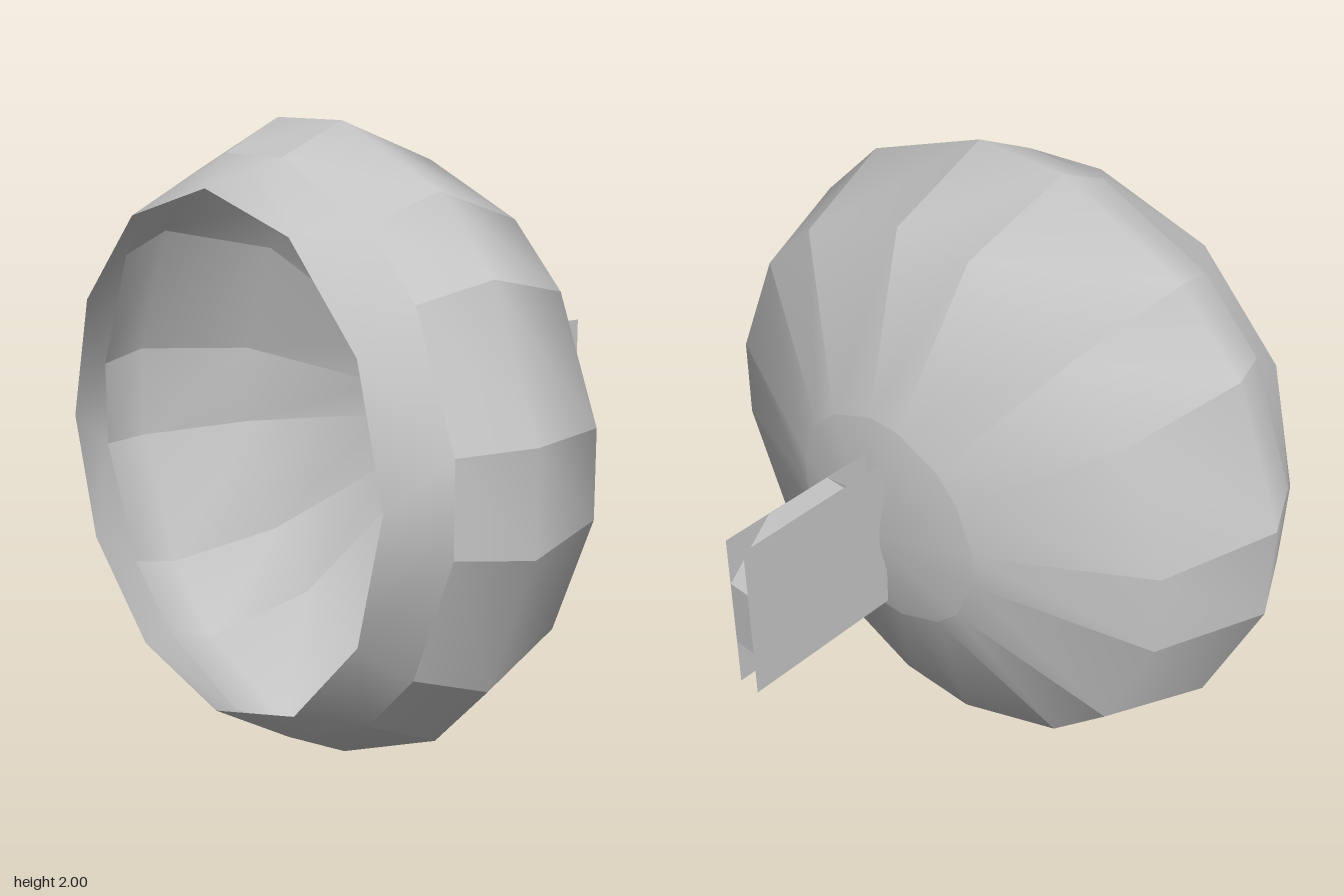
import * as THREE from 'three';

const gray = new THREE.MeshStandardMaterial({ color: 0xc4c4c4, side: THREE.DoubleSide });
gray.name = 'gray';

// alternating narrow (18 degree) and wide (27 degree) panels
const panelAngles = [];
for (let k = 0; k < 8; k++) panelAngles.push(45 * k - 9, 45 * k + 9);

// point on a circle of radius r around the z axis
const polar = (deg, r, z) => {
  const a = THREE.MathUtils.degToRad(deg);
  return [r * Math.cos(a), r * Math.sin(a), z];
};

function makeMesh(name, points, index) {
  const geo = new THREE.BufferGeometry();
  geo.setAttribute('position', new THREE.Float32BufferAttribute(points.flat(), 3));
  geo.setIndex(index);
  geo.computeVertexNormals();
  const mesh = new THREE.Mesh(geo, gray);
  mesh.name = name;
  return mesh;
}

// panelled bowl: creased between panels, blending together at the back ring
function makeBowl() {
  const profile = [[0.91, 0.175], [1.0125, 0.385], [0.88, 0.755]];
  const points = panelAngles.map((a) => polar(a, 0.36, 0.97));
  const index = [];
  panelAngles.forEach((a, i) => {
    const n = (i + 1) % 16;
    const base = points.length;
    for (const [r, z] of profile) points.push(polar(a, r, z), polar(panelAngles[n], r, z));
    for (let j = 0; j < 3; j++) {
      const p = base + 2 * j, q = p + 1;
      const s = j < 2 ? p + 2 : i, t = j < 2 ? p + 3 : n;
      index.push(p, q, t, p, t, s);
    }
  });
  return makeMesh('panelledBowl', points, index);
}

// shallow cone closing the back
function makeCap() {
  const points = panelAngles.map((a) => polar(a, 0.36, 0.97));
  points.push([0, 0, 1.06]);
  const index = [];
  for (let i = 0; i < 16; i++) index.push(i, (i + 1) % 16, 16);
  return makeMesh('backCap', points, index);
}

// band joining the twelve-sided opening to the sixteen-sided bowl
function makeRim() {
  const points = [];
  for (let i = 0; i < 12; i++) points.push(polar(30 * i, 0.81, 0));
  panelAngles.forEach((a) => points.push(polar(a, 0.91, 0.175)));
  const index = [];
  const outer = (j) => 12 + (j % 16);
  let i = 0, j = 0;
  while (i < 12 || j < 16) {
    const nextOuter = panelAngles[(j + 1) % 16] + (j + 1 >= 16 ? 360 : 0);
    if (j === 16 || (i < 12 && 30 * (i + 1) <= nextOuter)) {
      index.push(i % 12, (i + 1) % 12, outer(j));
      i++;
    } else {
      index.push(i % 12, outer(j + 1), outer(j));
      j++;
    }
  }
  return makeMesh('rimBand', points, index);
}

// two square plates with an eight-sided core between them
function makeHandle() {
  const handle = new THREE.Group();
  handle.name = 'handle';
  for (const side of [-1, 1]) {
    const plate = new THREE.Mesh(new THREE.PlaneGeometry(0.54, 0.54), gray);
    plate.name = side < 0 ? 'handlePlateA' : 'handlePlateB';
    plate.rotation.y = side * Math.PI / 2;
    plate.position.x = side * 0.036;
    handle.add(plate);
  }
  const core = new THREE.CylinderGeometry(0.292, 0.292, 0.07, 8, 1, true).toNonIndexed();
  core.computeVertexNormals();
  core.rotateY(Math.PI / 8);
  core.rotateZ(Math.PI / 2);
  const coreMesh = new THREE.Mesh(core, gray);
  coreMesh.name = 'handleCore';
  handle.add(coreMesh);
  handle.position.set(0.012, 0, 1.29);
  return handle;
}

export function createModel() {
  const body = new THREE.Group();
  body.name = 'dish';
  body.add(makeRim(), makeBowl(), makeCap(), makeHandle());
  // turn the dish axis from +z towards the back left
  body.rotation.y = Math.atan2(0.912, -0.41);
  body.position.set(-0.55, 1, 0.175);
  const model = new THREE.Group();
  model.name = 'model';
  model.add(body);
  return model;
}
